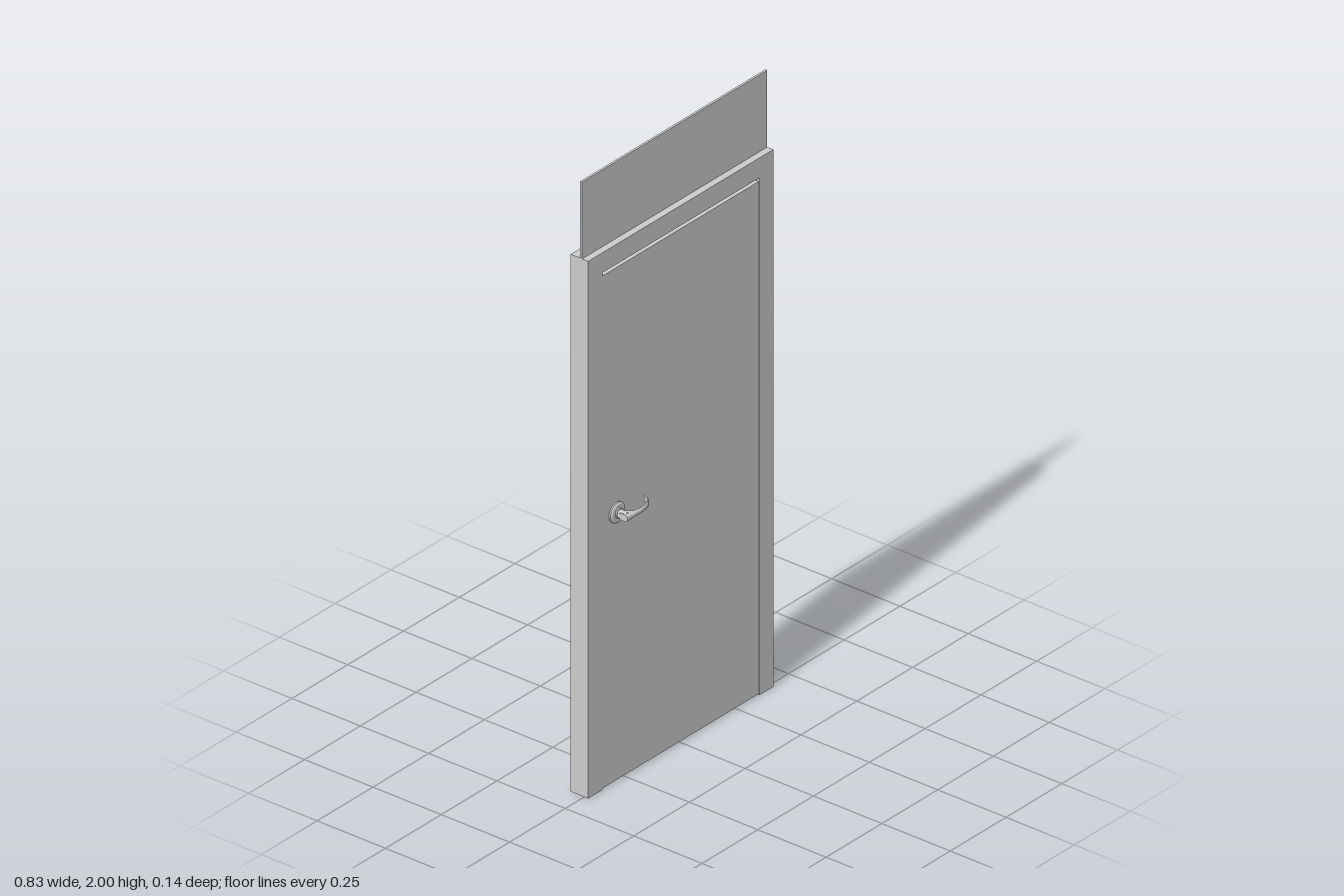
import * as THREE from 'three';

const mat = new THREE.MeshStandardMaterial({ color: 0xcccccc });
const matOpen = new THREE.MeshStandardMaterial({ color: 0xcccccc, side: THREE.DoubleSide });

const HALF = 0.415, TOP = 1.75;            // outer frame
const FRONT = 0.0145, BACK = -0.05;        // frame depth
const DOOR_BACK = -0.0175;                 // plane where door meets stop
const OPEN_X = 0.352, OPEN_Y = 1.685;      // rebate opening
const STOP_X = 0.331, STOP_Y = 1.668;      // stop opening

function add(parent, name, geo, material = mat) {
  const m = new THREE.Mesh(geo, material);
  m.name = name;
  parent.add(m);
  return m;
}

function box(x0, x1, y0, y1, z0, z1) {
  return new THREE.BoxGeometry(x1 - x0, y1 - y0, z1 - z0)
    .translate((x0 + x1) / 2, (y0 + y1) / 2, (z0 + z1) / 2);
}

function extrude(points, depth) {
  const shape = new THREE.Shape(points.map(([x, y]) => new THREE.Vector2(x, y)));
  return new THREE.ExtrudeGeometry(shape, { depth, bevelEnabled: false });
}

// Upright with a stepped section, hollow and open at its ends
function jambGeometry(s) {
  const pts = [[OPEN_X, -FRONT], [HALF, -FRONT], [HALF, -BACK], [STOP_X, -BACK],
    [STOP_X, -DOOR_BACK], [OPEN_X, -DOOR_BACK]].map(([x, y]) => [s * x, y]);
  const solid = extrude(pts, OPEN_Y);
  const start = solid.groups[1].start * 3;
  const geo = new THREE.BufferGeometry();
  for (const key of ['position', 'normal'])
    geo.setAttribute(key, new THREE.BufferAttribute(solid.attributes[key].array.slice(start), 3));
  return geo.rotateX(-Math.PI / 2);
}

// Same stepped section run across the top
function headGeometry() {
  return extrude([[-FRONT, OPEN_Y], [-FRONT, TOP], [-BACK, TOP], [-BACK, STOP_Y],
    [-DOOR_BACK, STOP_Y], [-DOOR_BACK, OPEN_Y]], HALF * 2)
    .rotateY(Math.PI / 2).translate(-HALF, 0, 0);
}

// Curved, tapering lever: rounded sections swept along a path
function leverGeometry() {
  // x, z, thickness, height
  const stations = [
    [-0.013, 0.035, 0.034, 0.022], [0.008, 0.0355, 0.034, 0.020], [0.02, 0.041, 0.022, 0.016],
    [0.035, 0.0455, 0.012, 0.014], [0.06, 0.0465, 0.008, 0.014], [0.085, 0.042, 0.006, 0.017],
    [0.1, 0.034, 0.005, 0.019], [0.109, 0.023, 0.004, 0.020], [0.112, 0.012, 0.003, 0.020]];
  const path = new THREE.CatmullRomCurve3(stations.map(([x, z]) => new THREE.Vector3(x, 0, z)));
  const size = new THREE.CatmullRomCurve3(stations.map(([, , t, h]) => new THREE.Vector3(t, h, 0)));
  const steps = 32, sides = 20, pos = [], index = [];
  const ring = (u, scale) => {
    const p = path.getPoint(u), t = path.getTangent(u), s = size.getPoint(u);
    const round = (v) => Math.sign(v) * Math.pow(Math.abs(v), 0.6) * scale / 2;
    for (let j = 0; j < sides; j++) {
      const a = (j / sides) * Math.PI * 2;
      const n = round(Math.cos(a)) * s.x;
      pos.push(p.x + t.z * n, round(Math.sin(a)) * s.y, p.z - t.x * n);
    }
  };
  // Doubled end rings keep the caps crisp
  ring(0, 0); ring(0, 1);
  for (let i = 0; i <= steps; i++) ring(i / steps, 1);
  ring(1, 1); ring(1, 0);
  const rows = pos.length / 3 / sides;
  for (let i = 0; i < rows - 1; i++) {
    if (i === 1 || i === rows - 3) continue;
    for (let j = 0; j < sides; j++) {
      const k = (j + 1) % sides;
      const a = i * sides + j, b = i * sides + k, c = a + sides, d = b + sides;
      index.push(a, b, c, b, d, c);
    }
  }
  const geo = new THREE.BufferGeometry();
  geo.setAttribute('position', new THREE.Float32BufferAttribute(pos, 3));
  geo.setIndex(index);
  geo.computeVertexNormals();
  return geo;
}

// Handle set standing out along +z from the door face
function makeHandle(name) {
  const g = new THREE.Group();
  g.name = name;
  const disc = (r0, r1, z0, z1) => new THREE.CylinderGeometry(r1, r0, z1 - z0, 40)
    .rotateX(Math.PI / 2).translate(0, 0, (z0 + z1) / 2);
  add(g, 'rosette', disc(0.033, 0.033, 0, 0.005));
  add(g, 'rosetteBevel', disc(0.033, 0.027, 0.005, 0.009));
  add(g, 'collar', disc(0.016, 0.016, 0.009, 0.014));
  add(g, 'spindle', disc(0.0135, 0.0125, 0.014, 0.04));
  add(g, 'lever', leverGeometry());
  return g;
}

export function createModel() {
  const model = new THREE.Group();
  model.name = 'door';

  const frame = new THREE.Group();
  frame.name = 'doorFrame';
  model.add(frame);
  add(frame, 'leftJamb', jambGeometry(1), matOpen);
  add(frame, 'rightJamb', jambGeometry(-1), matOpen);
  add(frame, 'frameHead', headGeometry());

  // Thin panel above the frame
  add(model, 'transomPanel', box(-HALF, HALF, TOP, 2, -0.0155, -0.008));

  // Door leaf, with clearance at the top and bottom
  add(model, 'doorLeaf', box(-0.35, 0.35, 0.005, 1.674, DOOR_BACK, FRONT - 0.0005));

  const front = makeHandle('frontHandle');
  front.position.set(-0.289, 0.878, FRONT);
  const back = makeHandle('backHandle');
  back.rotation.x = Math.PI;
  back.position.set(-0.289, 0.878, DOOR_BACK);
  model.add(front, back);

  return model;
}
